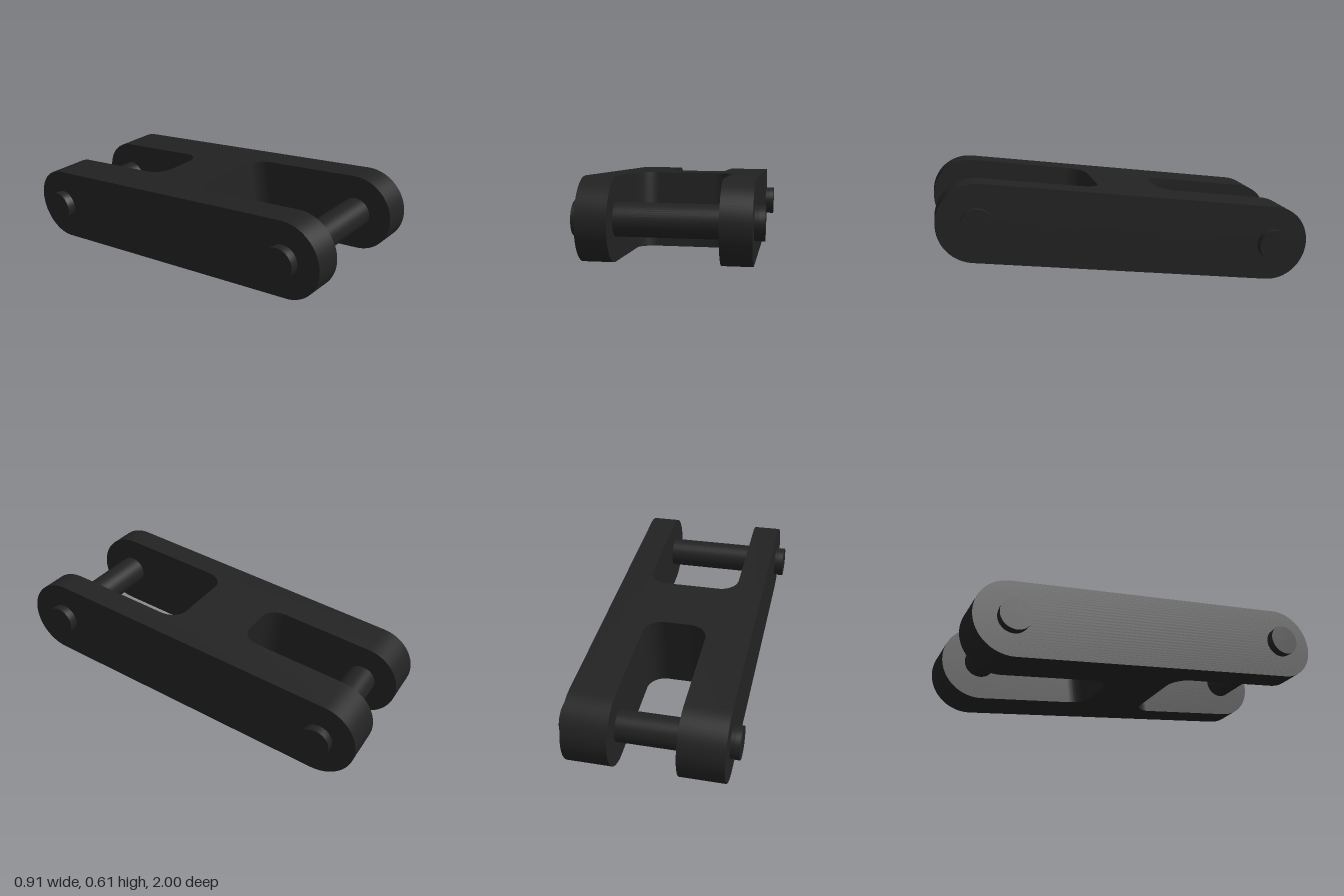
import * as THREE from 'three';
import { toCreasedNormals } from 'three/addons/utils/BufferGeometryUtils.js';

const R = 0.205;      // half thickness, also the radius of the rounded ends
const W = 0.405;      // half width
const L = 0.8015;     // half distance between the pins
const TILT = 0.1282;

const material = new THREE.MeshStandardMaterial({ color: 0x222222 });

// H-shaped outline: a wide slot at the front, a narrow one at the back
function planShape() {
  const front = { x: 0.255, s: 0.157 };
  const back = { x: 0.17, s: -0.198 };
  const r = 0.1;
  const shape = new THREE.Shape();
  shape.moveTo(-W, -L);
  shape.lineTo(-back.x, -L);
  shape.lineTo(-back.x, back.s - r);
  shape.absarc(-back.x + r, back.s - r, r, Math.PI, Math.PI / 2, true);
  shape.absarc(back.x - r, back.s - r, r, Math.PI / 2, 0, true);
  shape.lineTo(back.x, -L);
  shape.lineTo(W, -L);
  shape.lineTo(W, L);
  shape.lineTo(front.x, L);
  shape.lineTo(front.x, front.s + r);
  shape.absarc(front.x - r, front.s + r, r, 0, -Math.PI / 2, true);
  shape.absarc(-front.x + r, front.s + r, r, -Math.PI / 2, -Math.PI, true);
  shape.lineTo(-front.x, L);
  shape.lineTo(-W, L);
  shape.closePath();
  return shape;
}

// Extrude the outline in layers and push each layer's arm tips out to a half circle
function bodyGeometry() {
  const geometry = new THREE.ExtrudeGeometry(planShape(), {
    depth: 2, steps: 36, curveSegments: 14, bevelEnabled: false,
  });
  const p = geometry.attributes.position;
  for (let i = 0; i < p.count; i++) {
    const a = (p.getZ(i) - 1) * Math.PI / 2;
    const y = p.getY(i);
    if (Math.abs(y) > L - 1e-4) p.setY(i, Math.sign(y) * (L + R * Math.cos(a)));
    p.setZ(i, R * Math.sin(a));
  }
  geometry.rotateX(Math.PI / 2);
  return toCreasedNormals(geometry, 0.5);
}

// Round pin with a slightly larger head at each end
function pinGeometry() {
  const shaft = 0.0825, head = 0.085, inner = 0.428, outer = 0.455;
  const profile = [
    [0, -outer], [head, -outer], [head, -inner], [shaft, -inner],
    [shaft, inner], [head, inner], [head, outer], [0, outer],
  ].map(([x, y]) => new THREE.Vector2(x, y));
  const geometry = new THREE.LatheGeometry(profile, 48);
  geometry.rotateZ(Math.PI / 2);
  return toCreasedNormals(geometry, 0.5);
}

export function createModel() {
  const model = new THREE.Group();
  model.name = 'chainLink';

  const link = new THREE.Group();
  link.name = 'tiltedLink';
  link.position.y = 0.3075;
  link.rotation.x = -TILT;
  model.add(link);

  const body = new THREE.Mesh(bodyGeometry(), material);
  body.name = 'linkBody';
  link.add(body);

  // One pin through each end
  const geometry = pinGeometry();
  for (const [name, z] of [['frontPin', L], ['backPin', -L]]) {
    const pin = new THREE.Mesh(geometry, material);
    pin.name = name;
    pin.position.z = z;
    link.add(pin);
  }
  return model;
}
